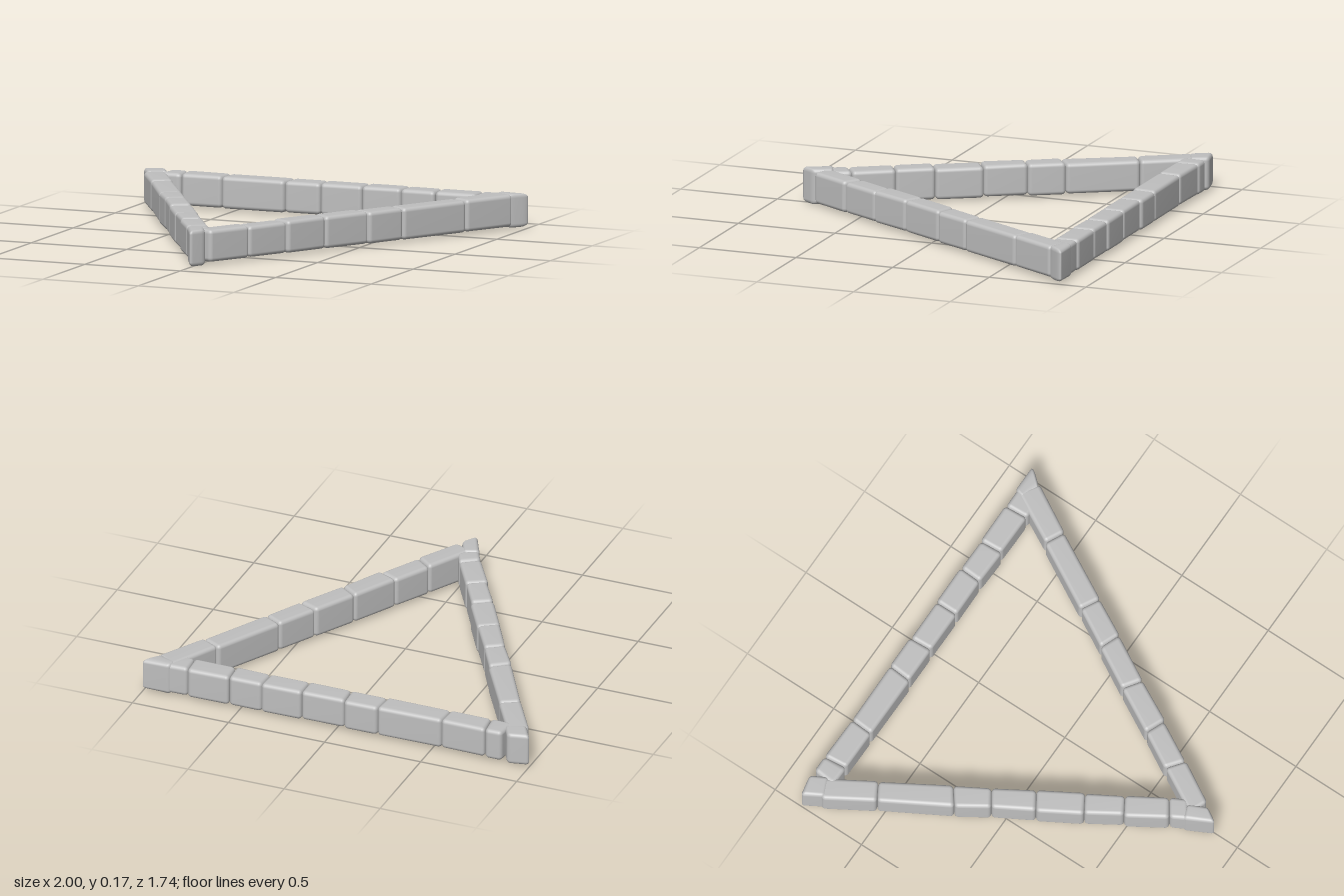
import * as THREE from 'three';
import { mergeVertices } from 'three/addons/utils/BufferGeometryUtils.js';
import { RoundedBoxGeometry } from 'three/addons/geometries/RoundedBoxGeometry.js';

// Small seeded generator for the hand-cut irregularity
let seed = 7;
function wobble(amount) {
  seed = (seed * 16807) % 2147483647;
  return (seed / 2147483647 - 0.5) * 2 * amount;
}

// Rounded block fitted to a plan quad [x, z] a, b, c, d (clockwise from above)
function stoneGeometry([a, b, c, d], bottom, top) {
  const length = Math.hypot(b[0] - a[0], b[1] - a[1]);
  const width = Math.hypot(d[0] - a[0], d[1] - a[1]);
  const height = top - bottom;
  let geo = new RoundedBoxGeometry(length, height, width, 3, 0.02);
  geo.deleteAttribute('normal');
  geo.deleteAttribute('uv');
  geo = mergeVertices(geo, 1e-5);
  geo.clearGroups();
  const p = geo.attributes.position;
  const bilinear = (i, u, v) =>
    (a[i] * (1 - u) + b[i] * u) * (1 - v) + (d[i] * (1 - u) + c[i] * u) * v;
  for (let n = 0; n < p.count; n++) {
    const u = p.getX(n) / length + 0.5;
    const v = p.getZ(n) / width + 0.5;
    p.setXYZ(n, bilinear(0, u, v), p.getY(n) + height / 2 + bottom, bilinear(1, u, v));
  }
  // Area-weighted normals keep the broad faces flat and the edges soft
  geo.computeVertexNormals();
  return geo;
}

export function createModel() {
  const model = new THREE.Group();
  model.name = 'triangularStoneBorder';
  const stone = new THREE.MeshStandardMaterial({ color: 0xbfbfbf });
  stone.name = 'grey stone';

  function addStone(parent, name, quad, bottom, top) {
    const mesh = new THREE.Mesh(stoneGeometry(quad, bottom, top), stone);
    mesh.name = name;
    parent.add(mesh);
  }

  // A row of stones between successive joint points on a centre line
  function addRow(name, joints, width) {
    const row = new THREE.Group();
    row.name = name;
    const first = joints[0];
    const last = joints[joints.length - 1];
    const span = Math.hypot(last[0] - first[0], last[1] - first[1]);
    const ax = (last[0] - first[0]) / span;
    const az = (last[1] - first[1]) / span;
    // Slightly slanted joints shared by neighbouring stones
    const slants = joints.map(() => wobble(0.008));
    const corner = (i, side) => {
      const across = side * (width / 2 + wobble(0.004));
      const along = side * slants[i];
      return [joints[i][0] + ax * along - az * across, joints[i][1] + az * along + ax * across];
    };
    for (let i = 0; i < joints.length - 1; i++) {
      const quad = [corner(i, -1), corner(i + 1, -1), corner(i + 1, 1), corner(i, 1)];
      addStone(row, name + 'Stone' + (i + 1), quad, 0.012 + wobble(0.003), 0.168 + wobble(0.003));
    }
    model.add(row);
  }

  // Three sides of the triangle
  addRow('backRow',
    [-0.87, -0.77, -0.55, -0.22, -0.04, 0.18, 0.385, 0.56, 0.775, 0.88].map(x => [x, -0.807]), 0.118);
  addRow('rightRow',
    [-0.79, -0.555, -0.24, -0.085, 0.1, 0.3, 0.465, 0.65, 0.73].map(z => [-0.78 + 0.593 * (z + 0.555), z]), 0.108);
  addRow('leftRow',
    [0.765, 0.55, 0.36, 0.15, -0.065, -0.25, -0.58, -0.825].map(z => [0.444 - 0.56 * z, z]), 0.108);

  // Corner stones
  addStone(model, 'backRightCorner',
    [[-1.005, -0.85], [-0.895, -0.872], [-0.85, -0.79], [-0.945, -0.748]], 0.008, 0.172);
  addStone(model, 'backLeftCorner',
    [[0.86, -0.873], [1.015, -0.873], [0.93, -0.775], [0.85, -0.82]], 0.008, 0.172);
  addStone(model, 'frontCorner',
    [[-0.078, 0.735], [0, 0.71], [0.042, 0.8], [-0.005, 0.878]], 0, 0.175);

  return model;
}
